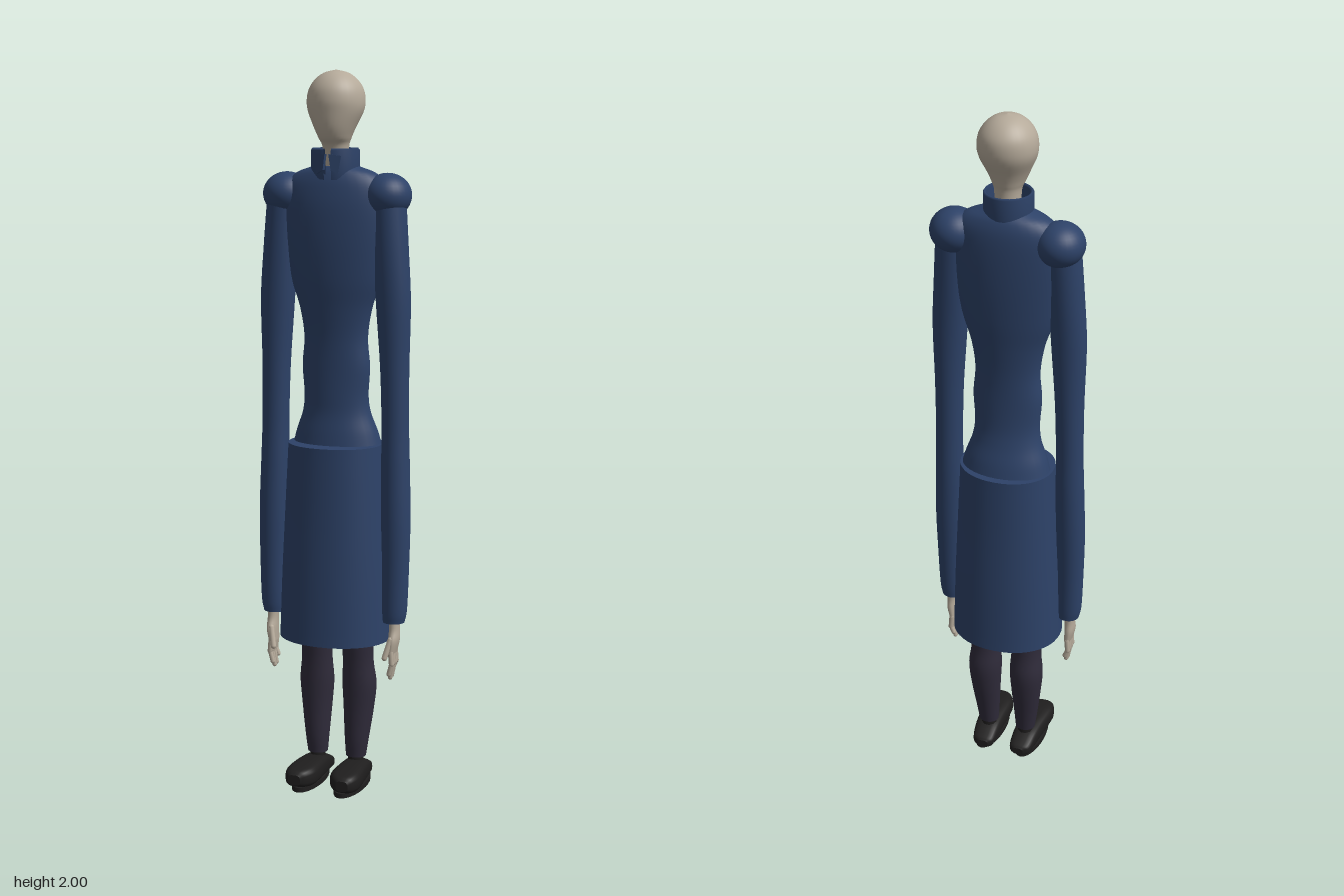
import * as THREE from 'three';

const mat = (name, color) => {
  const m = new THREE.MeshStandardMaterial({ color, side: THREE.DoubleSide });
  m.name = name;
  return m;
};

// Skin through elliptical cross-sections [x, y, z, radiusX, radiusZ], listed from bottom to top.
// power 1 is an ellipse, smaller values are boxier.
function loft(sections, { steps = 5, sides = 32, power = 1, bottom = true, top = true } = {}) {
  const mid = new THREE.CatmullRomCurve3(sections.map(s => new THREE.Vector3(s[0], s[1], s[2])), false, 'catmullrom');
  const rad = new THREE.CatmullRomCurve3(sections.map(s => new THREE.Vector3(s[3], 0, s[4])), false, 'catmullrom');
  const rows = (sections.length - 1) * steps;
  const pos = [], idx = [];
  const bend = v => Math.sign(v) * Math.abs(v) ** power;
  const ring = t => {
    const c = mid.getPoint(t), r = rad.getPoint(t);
    for (let j = 0; j < sides; j++) {
      const a = (j / sides) * Math.PI * 2;
      pos.push(c.x + bend(Math.cos(a)) * Math.max(r.x, 0), c.y, c.z + bend(Math.sin(a)) * Math.max(r.z, 0));
    }
    return c;
  };
  for (let i = 0; i <= rows; i++) ring(i / rows);
  for (let i = 0; i < rows; i++) {
    for (let j = 0; j < sides; j++) {
      const a = i * sides + j, b = i * sides + (j + 1) % sides;
      idx.push(a, a + sides, b, b, a + sides, b + sides);
    }
  }
  const cap = (t, up) => {
    const base = pos.length / 3, c = ring(t), centre = base + sides;
    pos.push(c.x, c.y, c.z);
    for (let j = 0; j < sides; j++) {
      const a = base + j, b = base + (j + 1) % sides;
      idx.push(centre, up ? b : a, up ? a : b);
    }
  };
  if (bottom) cap(0, false);
  if (top) cap(1, true);
  const g = new THREE.BufferGeometry();
  g.setAttribute('position', new THREE.Float32BufferAttribute(pos, 3));
  g.setIndex(idx);
  g.computeVertexNormals();
  return g;
}

export function createModel() {
  const coat = mat('navy coat', 0x2d4268);
  const skin = mat('pale skin', 0xb5aa9a);
  const trousers = mat('dark trousers', 0x2f2b3a);
  const leather = mat('black leather', 0x1f1e1e);

  const model = new THREE.Group();
  const add = (name, geometry, material, parent = model) => {
    const m = new THREE.Mesh(geometry, material);
    m.name = name;
    parent.add(m);
    return m;
  };
  // Rounded limb segment between two points
  const rod = (name, a, b, r, material, parent) => {
    const p = new THREE.Vector3(...a), q = new THREE.Vector3(...b);
    const m = add(name, new THREE.CapsuleGeometry(r, p.distanceTo(q), 4, 10), material, parent);
    m.position.copy(p).lerp(q, 0.5);
    m.quaternion.setFromUnitVectors(new THREE.Vector3(0, 1, 0), q.sub(p).normalize());
    return m;
  };

  // Head and neck
  add('head', loft([
    [0, 1.70, -0.008, 0.036, 0.036], [0, 1.79, -0.007, 0.035, 0.038], [0, 1.82, 0.000, 0.044, 0.052],
    [0, 1.85, 0.000, 0.057, 0.064], [0, 1.89, -0.007, 0.075, 0.077], [0, 1.92, -0.009, 0.079, 0.081],
    [0, 1.95, -0.010, 0.073, 0.076], [0, 1.975, -0.010, 0.056, 0.059], [0, 1.992, -0.010, 0.032, 0.034],
    [0, 2.0, -0.010, 0.0, 0.0],
  ]), skin);

  // Coat bodice with pinched waist and flared hem
  add('coatBodice', loft([
    [0, 0.98, -0.022, 0.127, 0.082], [0, 1.02, -0.020, 0.116, 0.074], [0, 1.07, -0.016, 0.098, 0.062],
    [0, 1.12, -0.012, 0.092, 0.056], [0, 1.20, -0.010, 0.097, 0.053], [0, 1.28, -0.009, 0.091, 0.054],
    [0, 1.36, -0.008, 0.103, 0.061], [0, 1.44, -0.007, 0.128, 0.070], [0, 1.54, -0.007, 0.145, 0.076],
    [0, 1.63, -0.008, 0.152, 0.076], [0, 1.69, -0.010, 0.146, 0.070], [0, 1.725, -0.010, 0.115, 0.060],
    [0, 1.745, -0.008, 0.062, 0.048],
  ]), coat);

  // Coat skirt, open below
  add('coatSkirt', loft([
    [0, 0.43, -0.008, 0.159, 0.137], [0, 0.62, -0.008, 0.152, 0.130],
    [0, 0.80, -0.008, 0.143, 0.122], [0, 0.985, -0.008, 0.133, 0.116],
  ], { bottom: false, sides: 48, power: 0.94 }), coat);

  // Standing collar, split at the front, with two folded tips
  const gap = 0.16;
  const band = new THREE.LatheGeometry([
    [0.062, 1.71], [0.066, 1.735], [0.066, 1.788], [0.062, 1.793], [0.056, 1.788], [0.054, 1.72],
  ].map(p => new THREE.Vector2(...p)), 32, gap, Math.PI * 2 - gap * 2);
  band.translate(0, 0, -0.003);
  add('collar', band, coat);
  for (const s of [1, -1]) {
    const tip = new THREE.Shape([[0, 0.02], [0.034, 0.016], [0.026, -0.032], [0.006, -0.022]]
      .map(([x, y]) => new THREE.Vector2(s * x, y)));
    const flap = add('collarTip', new THREE.ExtrudeGeometry(tip, { depth: 0.01, bevelEnabled: false }), coat);
    flap.position.set(s * 0.003, 1.758, 0.058);
    flap.rotation.y = s * 0.25;
  }

  for (const [s, side] of [[1, 'left'], [-1, 'right']]) {
    const group = name => {
      const g = new THREE.Group();
      g.name = side + name;
      model.add(g);
      return g;
    };
    const arm = group('Arm'), hand = group('Hand'), leg = group('Leg');

    // Puffed shoulder
    const puff = add('shoulderPuff', new THREE.SphereGeometry(1, 32, 20), coat, arm);
    puff.scale.set(0.066, 0.060, 0.068);
    puff.position.set(s * 0.145, 1.668, -0.015);

    // Sleeve
    add('sleeve', loft([
      [0.178, 0.49, 0.012, 0.031, 0.030], [0.180, 0.53, 0.012, 0.036, 0.033], [0.182, 0.65, 0.010, 0.038, 0.035],
      [0.181, 0.78, 0.007, 0.041, 0.038], [0.178, 0.92, 0.003, 0.040, 0.038], [0.176, 1.04, 0.001, 0.038, 0.036],
      [0.173, 1.20, 0.000, 0.040, 0.038], [0.168, 1.38, 0.000, 0.048, 0.042], [0.160, 1.52, -0.003, 0.048, 0.046],
      [0.152, 1.66, -0.008, 0.046, 0.048],
    ].map(([x, ...r]) => [s * x, ...r]), { sides: 24 }), coat, arm);

    // Palm, fingers and thumb
    add('palm', loft([
      [0.178, 0.405, 0.020, 0.011, 0.029], [0.182, 0.44, 0.019, 0.015, 0.029],
      [0.182, 0.47, 0.015, 0.015, 0.020], [0.180, 0.51, 0.012, 0.016, 0.018],
    ].map(([x, ...r]) => [s * x, ...r]), { sides: 16 }), skin, hand);
    [0.345, 0.332, 0.335, 0.355].forEach((y, i) => {
      const z = 0.041 - i * 0.0145;
      rod('finger', [s * 0.179, 0.41, z], [s * 0.182, 0.375, z], 0.0075, skin, hand);
      rod('fingertip', [s * 0.182, 0.375, z], [s * 0.174, y, z], 0.0065, skin, hand);
    });
    rod('thumb', [s * 0.178, 0.445, 0.040], [s * 0.166, 0.395, 0.055], 0.008, skin, hand);

    // Trouser leg
    add('trouserLeg', loft([
      [0.058, 0.075, -0.016, 0.029, 0.027], [0.060, 0.13, -0.018, 0.035, 0.034], [0.063, 0.22, -0.026, 0.044, 0.042],
      [0.064, 0.29, -0.028, 0.049, 0.046], [0.062, 0.36, -0.022, 0.044, 0.042], [0.062, 0.45, -0.018, 0.047, 0.047],
      [0.064, 0.70, -0.014, 0.056, 0.058], [0.064, 0.96, -0.012, 0.058, 0.064],
    ].map(([x, ...r]) => [s * x, ...r]), { sides: 24 }), trousers, leg);
    rod('ankle', [s * 0.058, 0.05, -0.015], [s * 0.058, 0.08, -0.015], 0.023, leather, leg);

    // Shoe, lofted from heel to toe
    const shoe = loft([
      [0.056, -0.083, -0.022, 0.016, 0.011], [0.058, -0.07, -0.025, 0.031, 0.018], [0.060, -0.03, -0.034, 0.037, 0.027],
      [0.062, 0.02, -0.037, 0.040, 0.031], [0.064, 0.07, -0.038, 0.044, 0.031], [0.066, 0.105, -0.038, 0.043, 0.029],
      [0.069, 0.13, -0.038, 0.032, 0.024], [0.071, 0.143, -0.037, 0.018, 0.015],
    ].map(([x, ...r]) => [s * x, ...r]), { sides: 24, power: 0.65 });
    shoe.rotateX(Math.PI / 2);
    add('shoe', shoe, leather, leg);
    const sole = new THREE.CylinderGeometry(1, 1, 1, 28);
    sole.scale(0.041, 0.014, 0.108);
    sole.translate(s * 0.063, 0.007, 0.03);
    add('sole', sole, leather, leg);
  }
  return model;
}
